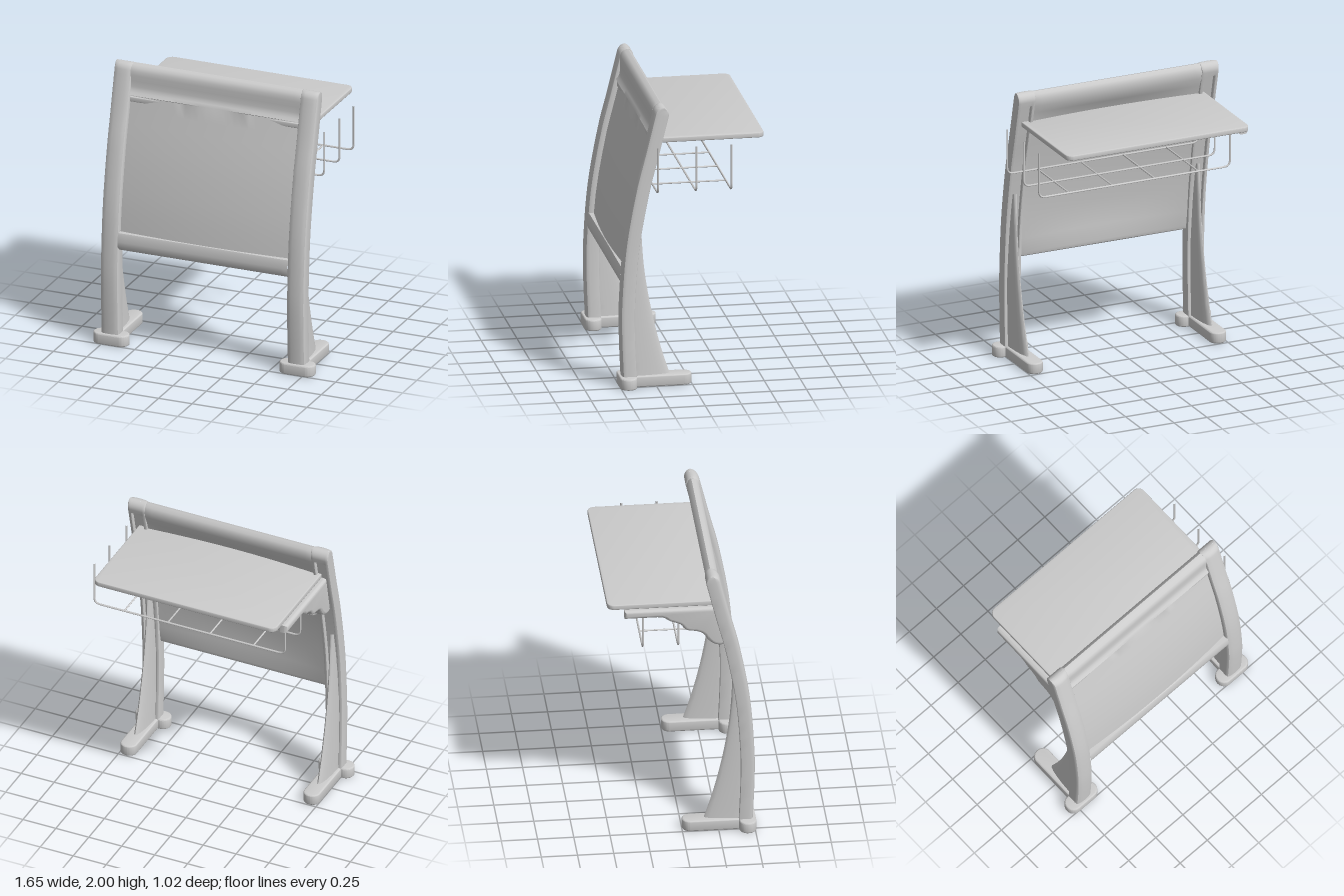
import * as THREE from 'three';
import { toCreasedNormals } from 'three/addons/utils/BufferGeometryUtils.js';

const material = new THREE.MeshStandardMaterial({ color: 0xcccccc });
const LEG_X = 0.695;

// Shared side curve (z, y) of legs and back panel
const sideCurve = new THREE.SplineCurve([
  [0.438, 0.06], [0.45, 0.35], [0.45, 0.6], [0.42, 1.0], [0.35, 1.4], [0.285, 1.66], [0.202, 1.999],
].map(([z, y]) => new THREE.Vector2(z, y)));

// Point on the side curve, moved d towards the front
function offsetPoint(x, t, d) {
  const p = sideCurve.getPointAt(t), g = sideCurve.getTangentAt(t);
  return new THREE.Vector3(x, p.y - g.x * d, p.x + g.y * d);
}

function part(name, geometry, crease = 0.6) {
  const mesh = new THREE.Mesh(toCreasedNormals(geometry, crease), material);
  mesh.name = name;
  return mesh;
}

// Skin over closed loops of points; loops run counter-clockwise seen from the last one
function loft(loops) {
  const n = loops[0].length, index = [];
  const positions = loops.flat().flatMap((p) => [p.x, p.y, p.z]);
  for (let i = 0; i < loops.length - 1; i++) {
    for (let j = 0; j < n; j++) {
      const a = i * n + j, b = i * n + (j + 1) % n;
      index.push(a, b, b + n, a, b + n, a + n);
    }
  }
  const geometry = new THREE.BufferGeometry();
  geometry.setAttribute('position', new THREE.Float32BufferAttribute(positions, 3));
  geometry.setIndex(index);
  return geometry;
}

// Flat slab with rounded corners and softened edges
function slab(x0, x1, z0, z1, y0, y1, r, bevel) {
  const s = new THREE.Shape();
  s.moveTo(x0 + r, z0);
  s.absarc(x1 - r, z0 + r, r, -Math.PI / 2, 0);
  s.absarc(x1 - r, z1 - r, r, 0, Math.PI / 2);
  s.absarc(x0 + r, z1 - r, r, Math.PI / 2, Math.PI);
  s.absarc(x0 + r, z0 + r, r, Math.PI, Math.PI * 1.5);
  return new THREE.ExtrudeGeometry(s, {
    depth: y1 - y0 - 2 * bevel, bevelSize: bevel, bevelThickness: bevel,
    bevelOffset: -bevel, bevelSegments: 3, curveSegments: 10,
  }).rotateX(Math.PI / 2).translate(0, y1 - bevel, 0);
}

// Leg: crowned front, channel open to the back, closed and rounded over at the top
function legGeometry() {
  const half = [[0, 0.051], [0.03, 0.049], [0.05, 0.045], [0.06, 0.04], [0.064, 0.032], [0.065, 0.018],
    [0.065, -0.04], [0.062, -0.047], [0.056, -0.05], [0.044, -0.05], [0.04, -0.046], [0.04, -0.02], [0, -0.02]];
  const section = [...half, ...half.slice(1, -1).reverse().map(([u, n]) => [-u, n])];
  const stations = [];
  for (let i = 0; i <= 28; i++) stations.push([0.95 * i / 28, 1, 0]);
  stations.push([0.955, 1, 1], [0.972, 1, 1]);
  for (let i = 1; i <= 8; i++) {
    const a = i / 8 * Math.PI / 2;
    stations.push([0.972 + 0.028 * Math.sin(a), Math.max(Math.cos(a), 0.001), 1]);
  }
  return loft(stations.map(([t, k, closed]) => section.map(([u, n]) => {
    const inChannel = closed && Math.abs(u) <= 0.04 && n < 0;
    return offsetPoint(u, t, (inChannel ? -0.05 : n) * k);
  })));
}

// Fin that braces the leg from behind, flaring towards the foot
function finGeometry() {
  const back = new THREE.SplineCurve([[0.145, 0.06], [0.215, 0.28], [0.28, 0.55], [0.33, 0.86], [0.352, 1.2]]
    .map(([z, y]) => new THREE.Vector2(z, y)));
  const loops = [];
  for (let i = 0; i <= 20; i++) {
    const t = i / 20, b = back.getPoint(t);
    const zc = sideCurve.getPointAt((b.y - 0.06) / 1.96).x - 0.02;
    const width = 0.015 + 0.027 * (1 - t);
    loops.push(Array.from({ length: 24 }, (_, j) => {
      const a = j / 24 * Math.PI * 2, c = Math.cos(a);
      return new THREE.Vector3(width * Math.sin(a), b.y, zc + c * (c > 0 ? 0.03 : zc - b.x));
    }));
  }
  return loft(loops);
}

// Back panel: sheet bowed towards the front between a lower rail and a rounded upper rail
function panelGeometry() {
  const rails = {
    lower: [[0.326, 0], [0.33, 0.026], [0.34, 0.039], [0.36, 0.044], [0.385, 0.042], [0.392, 0.038]],
    upper: [[0.884, 0.032], [0.895, 0.022], [0.905, 0.018], [0.915, 0.019], [0.935, 0.028], [0.955, 0.038],
      [0.97, 0.043], [0.983, 0.039], [0.993, 0.024], [1, 0], [0.993, -0.026], [0.978, -0.044], [0.95, -0.046],
      [0.92, -0.038]],
    base: [[0.345, -0.022], [0.332, -0.016]],
  };
  const loops = [];
  for (let i = 0; i <= 24; i++) {
    const x = -0.635 + 1.27 * i / 24;
    const bow = 0.032 - 0.028 * (x / 0.635) ** 2;
    const sheet = [0.394, 0.46, 0.54, 0.62, 0.7, 0.78, 0.83, 0.882].map((t) => [t, bow]);
    const rear = [0.88, 0.8, 0.7, 0.6, 0.5, 0.4].map((t) => [t, bow - 0.035]);
    const profile = [...rails.lower, ...sheet, ...rails.upper, ...rear, ...rails.base];
    loops.push(profile.map(([t, d]) => offsetPoint(x, t, d)).reverse());
  }
  return loft(loops);
}

// Bracket: stepped, swelling underside below a straight arm
function bracketGeometry() {
  const belly = new THREE.SplineCurve([[0.31, 1.45], [0.27, 1.435], [0.225, 1.445], [0.185, 1.475], [0.145, 1.53],
    [0.1, 1.55], [0.03, 1.565], [-0.01, 1.61], [-0.08, 1.638], [-0.125, 1.668], [-0.17, 1.675]]
    .map(([z, y]) => new THREE.Vector2(z, y))).getPoints(40);
  const arm = [[-0.395, 1.675], [-0.395, 1.735], [0.25, 1.735]].map(([z, y]) => new THREE.Vector2(z, y));
  const bevel = 0.026, width = 0.08;
  return new THREE.ExtrudeGeometry(new THREE.Shape([...belly, ...arm]), {
    depth: width - 2 * bevel, bevelSize: bevel, bevelThickness: bevel, bevelOffset: -bevel, bevelSegments: 5,
  }).rotateY(-Math.PI / 2).translate(-0.64 - bevel, 0, 0);
}

// Basket wire: a wide U with rounded bends
function wireGeometry(z) {
  const v = (x, y) => new THREE.Vector3(x, y, z);
  const L = -0.64, R = 0.808, B = 1.403, T = 1.73, r = 0.045;
  const path = new THREE.CurvePath();
  path.add(new THREE.LineCurve3(v(R, T), v(R, B + r)));
  path.add(new THREE.QuadraticBezierCurve3(v(R, B + r), v(R, B), v(R - r, B)));
  path.add(new THREE.LineCurve3(v(R - r, B), v(L + r, B)));
  path.add(new THREE.QuadraticBezierCurve3(v(L + r, B), v(L, B), v(L, B + r)));
  path.add(new THREE.LineCurve3(v(L, B + r), v(L, T)));
  return new THREE.TubeGeometry(path, 140, 0.007, 8);
}

export function createModel() {
  const model = new THREE.Group();
  model.name = 'deskWithBackPanel';

  // Mirrored side frames
  for (const [side, name] of [[1, 'left'], [-1, 'right']]) {
    const frame = new THREE.Group();
    frame.name = `${name}Frame`;
    frame.position.x = side * LEG_X;
    frame.add(
      part('leg', legGeometry()),
      part('legFin', finGeometry()),
      part('footCrossbar', slab(-0.13, 0.13, 0.39, 0.508, 0, 0.08, 0.058, 0.01)),
      part('footBar', slab(-0.06, 0.06, 0, 0.45, 0, 0.079, 0.058, 0.01)),
    );
    model.add(frame);
  }

  model.add(part('backPanel', panelGeometry(), 0.7));
  model.add(part('desktop', slab(-0.68, 0.705, -0.51, 0.28, 1.735, 1.771, 0.05, 0.006)));
  model.add(part('deskBracket', bracketGeometry(), 0.8));

  // Wire basket under the desktop
  const basket = new THREE.Group();
  basket.name = 'wireBasket';
  for (const z of [0.25, -0.017, -0.262]) basket.add(part('longWire', wireGeometry(z), 1));
  for (const x of [-0.4, -0.07, 0.25, 0.58]) {
    const cross = new THREE.CylinderGeometry(0.006, 0.006, 0.512, 8).rotateX(Math.PI / 2);
    basket.add(part('crossWire', cross.translate(x, 1.403, -0.006), 1));
  }
  model.add(basket);
  return model;
}
